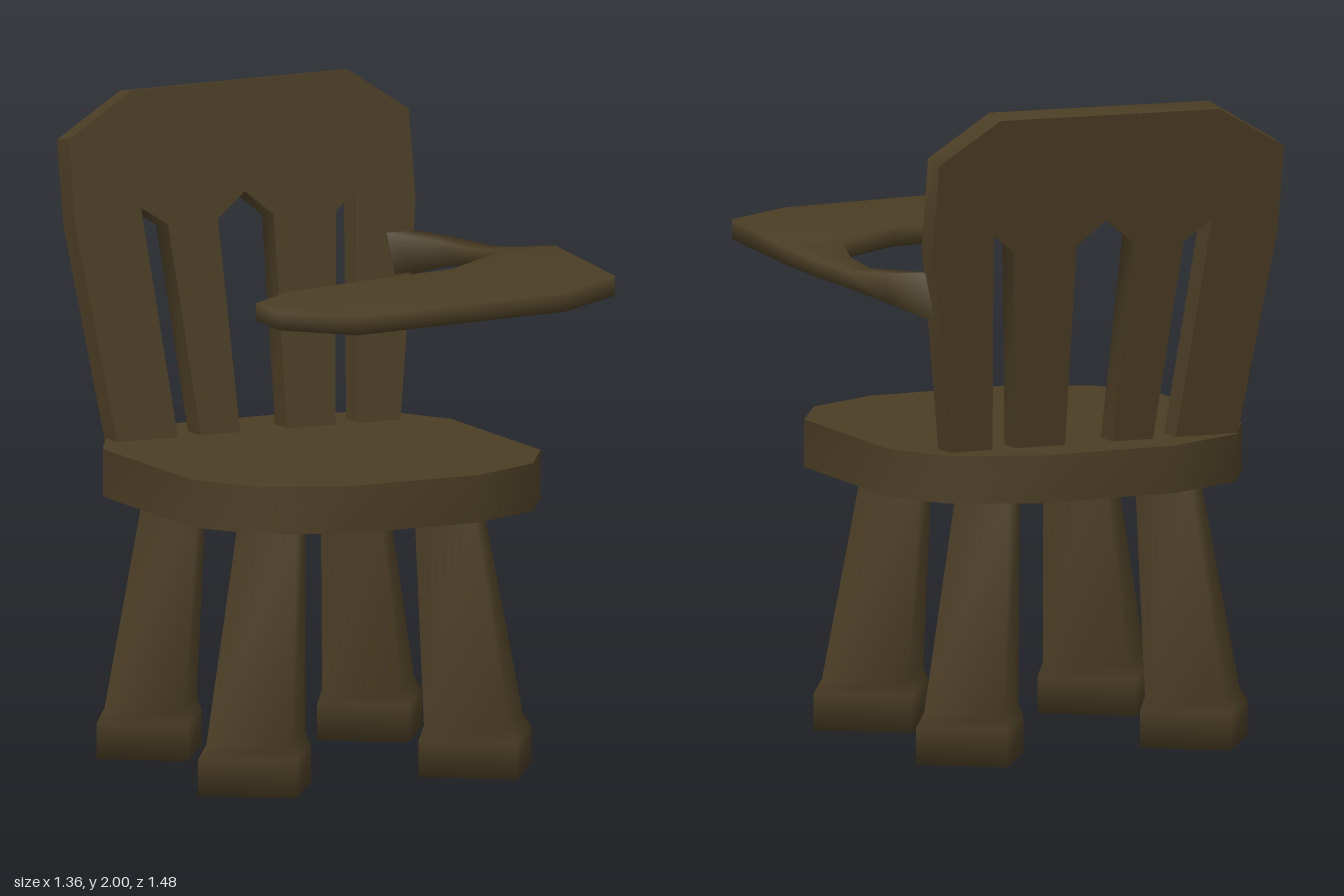
import * as THREE from 'three';
import { toCreasedNormals } from 'three/addons/utils/BufferGeometryUtils.js';

// Skin equal-sized rings of points, capped at both ends.
// Rings run counter-clockwise about the direction they advance in.
function loft(rings) {
  const n = rings[0].length, last = (rings.length - 1) * n, index = [];
  for (let i = 0; i < rings.length - 1; i++) {
    for (let j = 0; j < n; j++) {
      const a = i * n + j, b = i * n + (j + 1) % n;
      index.push(a, b, b + n, a, b + n, a + n);
    }
  }
  for (let k = 1; k < n - 1; k++) {
    index.push(0, k + 1, k, last, last + k, last + k + 1);
  }
  const g = new THREE.BufferGeometry();
  g.setAttribute('position', new THREE.Float32BufferAttribute(rings.flat(2), 3));
  g.setIndex(index);
  g.computeVertexNormals();
  return g;
}

export function createModel() {
  const model = new THREE.Group();
  const wood = new THREE.MeshStandardMaterial({ color: 0x4a3d24 });
  wood.name = 'dark wood';
  const add = (name, geometry) => {
    const mesh = new THREE.Mesh(geometry, wood);
    mesh.name = name;
    model.add(mesh);
  };

  // Seat: a thick twelve-sided slab
  const outline = [
    [-0.665, -0.4], [-0.665, 0.2], [-0.54, 0.4], [-0.3, 0.51], [0.14, 0.51], [0.38, 0.4],
    [0.505, 0.2], [0.505, -0.4], [0.4, -0.59], [0.14, -0.705], [-0.3, -0.705], [-0.56, -0.59],
  ];
  const seat = loft([0.81, 0.955].map((y) => outline.map(([x, z]) => [x, y, z])));
  add('seat', toCreasedNormals(seat, 1));

  // Legs: tapered square posts on wider feet, turned cornerwise
  const square = (x, y, z, r) => [0, 1, 2, 3].map((k) => {
    const t = THREE.MathUtils.degToRad(10 + 90 * k);
    return [x + r * Math.cos(t), y, z - r * Math.sin(t)];
  });
  for (const [side, sx] of [['Left', 1], ['Right', -1]]) {
    for (const [end, z0, z1, s] of [['front', 0.243, 0.21, 1], ['back', -0.465, -0.435, 0.93]]) {
      const cx = -0.107; // middle between the feet
      const ring = (dx, y, z, r) => square(cx + sx * dx, y, z, r * s);
      add(end + side + 'Leg', loft([
        ring(0.37, 0.005, z0, 0.211),
        ring(0.37, 0.115, z0, 0.211),
        ring(0.365, 0.16, z0, 0.185),
        ring(0.295, 0.83, z1, 0.125),
      ]));
    }
  }

  // Backrest: leaning comb-shaped panel with four slats under a broad top
  const comb = [
    [-0.56, 0.86], [-0.655, 1.6], [-0.655, 1.86], [-0.435, 1.99], [0.28, 2], [0.47, 1.87],
    [0.47, 1.6], [0.35, 0.86],
    [0.218, 0.86], [0.275, 1.64], [0.205, 1.585], [0.142, 0.86],
    [-0.012, 0.86], [0, 1.59], [-0.09, 1.665], [-0.185, 1.59], [-0.162, 0.86],
    [-0.288, 0.86], [-0.35, 1.585], [-0.435, 1.64], [-0.362, 0.86],
  ];
  const depth = 0.08;
  const back = new THREE.ExtrudeGeometry(
    new THREE.Shape(comb.map(([x, y]) => new THREE.Vector2(x, y))),
    { depth, bevelEnabled: false },
  );
  const p = back.attributes.position;
  for (let i = 0; i < p.count; i++) {
    const x = p.getX(i), y = p.getY(i), inset = depth - p.getZ(i);
    p.setY(i, y - inset * 0.17);
    p.setZ(i, -0.475 - inset - 0.172 * (y - 0.95) + 0.03 * (x + 0.1));
  }
  add('backrest', toCreasedNormals(back, 1));

  // Arm: flat band from the left of the back, widening into a tray in front
  // Each section: outer x, z, inner x, z, top, bottom
  const sections = [
    [0.42, -0.6, 0.34, -0.6, 1.51, 1.37],
    [0.46, -0.56, 0.36, -0.565, 1.51, 1.375],
    [0.535, -0.465, 0.44, -0.46, 1.5, 1.41],
    [0.6, -0.3, 0.515, -0.3, 1.49, 1.44],
    [0.64, -0.18, 0.52, -0.17, 1.505, 1.455],
    [0.68, -0.05, 0.485, -0.03, 1.525, 1.475],
    [0.605, 0.5, 0.22, 0.175, 1.525, 1.465],
    [0.36, 0.66, -0.08, 0.212, 1.52, 1.46],
    [-0.38, 0.74, -0.37, 0.25, 1.513, 1.458],
    [-0.55, 0.55, -0.535, 0.37, 1.51, 1.457],
  ];
  add('armTray', loft(sections.map(([ox, oz, ix, iz, top, bottom]) => [
    [ix, bottom, iz], [ox, bottom, oz], [ox, top, oz], [ix, top, iz],
  ])));

  return model;
}
